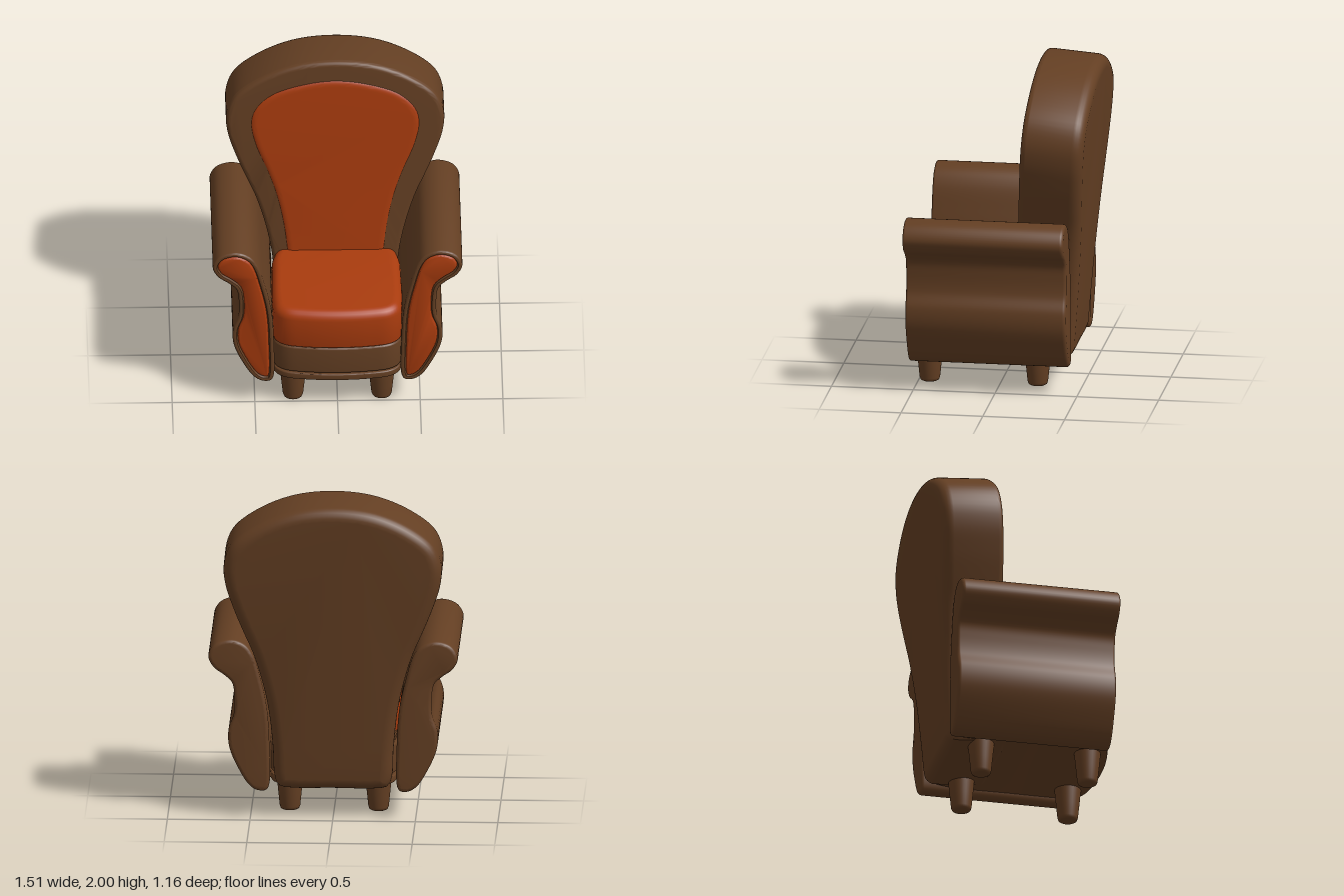
import * as THREE from 'three';
import { toCreasedNormals } from 'three/addons/utils/BufferGeometryUtils.js';

const leather = new THREE.MeshStandardMaterial({ color: 0x643f23 });
leather.name = 'brown leather';
const fabric = new THREE.MeshStandardMaterial({ color: 0xaa3c0e });
fabric.name = 'orange fabric';

// Mirrors a half outline that starts and ends on x = 0
const mirrored = (half) => [...half, ...half.slice(1, -1).reverse().map(([x, y]) => [-x, y])];

// Smooth closed outline, counter-clockwise
function outline(points, count = 120) {
  const curve = new THREE.CatmullRomCurve3(points.map(([x, y]) => new THREE.Vector3(x, y, 0)), true, 'centripetal');
  const out = curve.getSpacedPoints(count).slice(0, -1).map((p) => new THREE.Vector2(p.x, p.y));
  return THREE.ShapeUtils.isClockWise(out) ? out.reverse() : out;
}

// Rings [inset, z] for a slab with rounded edges; each edge is [inset, depth]
function rounded(z0, z1, edge0, edge1, steps = 6) {
  const rings = [];
  for (let i = 0; i <= steps; i++) {
    const a = (i / steps) * Math.PI / 2;
    rings.push([edge0[0] * (1 - Math.sin(a)), z0 + edge0[1] * (1 - Math.cos(a))]);
  }
  for (let i = steps; i >= 0; i--) {
    const a = (i / steps) * Math.PI / 2;
    rings.push([edge1[0] * (1 - Math.sin(a)), z1 - edge1[1] * (1 - Math.cos(a))]);
  }
  return rings;
}

// Lofts an outline through inset rings along z and caps both ends
function loft(points, rings) {
  const n = points.length;
  const normals = points.map((p, i) => {
    const t = points[(i + 1) % n].clone().sub(points[(i + n - 1) % n]).normalize();
    return new THREE.Vector2(t.y, -t.x);
  });
  const position = [];
  const index = [];
  for (const [inset, z] of rings) {
    points.forEach((p, i) => position.push(p.x - normals[i].x * inset, p.y - normals[i].y * inset, z));
  }
  for (let r = 0; r < rings.length - 1; r++) {
    for (let i = 0; i < n; i++) {
      const a = r * n + i;
      const b = r * n + (i + 1) % n;
      index.push(a, b, b + n, a, b + n, a + n);
    }
  }
  const cap = (r, flip) => {
    const ring = points.map((p, i) => p.clone().addScaledVector(normals[i], -rings[r][0]));
    for (const [a, b, c] of THREE.ShapeUtils.triangulateShape(ring, [])) {
      const o = r * n;
      index.push(o + a, o + (flip ? c : b), o + (flip ? b : c));
    }
  };
  cap(0, true);
  cap(rings.length - 1, false);
  const geometry = new THREE.BufferGeometry();
  geometry.setAttribute('position', new THREE.Float32BufferAttribute(position, 3));
  geometry.setIndex(index);
  return toCreasedNormals(geometry, 0.6);
}

function part(parent, name, geometry, material) {
  const mesh = new THREE.Mesh(geometry, material);
  mesh.name = name;
  parent.add(mesh);
  return mesh;
}

export function createModel() {
  const chair = new THREE.Group();
  chair.name = 'armchair';

  // Backrest, leaning backwards
  const back = new THREE.Group();
  back.name = 'backrest';
  back.rotation.x = -0.078;
  back.position.y = 0.012;
  chair.add(back);
  const backOutline = outline(mirrored([
    [0, 2], [0.25, 1.97], [0.465, 1.878], [0.61, 1.76], [0.658, 1.63], [0.65, 1.5], [0.6, 1.34], [0.54, 1.19],
    [0.485, 1.06], [0.43, 0.88], [0.39, 0.69], [0.365, 0.45], [0.355, 0.27], [0.33, 0.21], [0.26, 0.195], [0, 0.195],
  ]), 160);
  part(back, 'backFrame', loft(backOutline, rounded(-0.433, -0.053, [0.07, 0.07], [0.03, 0.035])), leather);
  const padOutline = outline(mirrored([
    [0, 1.875], [0.2, 1.848], [0.385, 1.78], [0.485, 1.68], [0.512, 1.58], [0.485, 1.43], [0.412, 1.24],
    [0.36, 1.08], [0.318, 0.88], [0.295, 0.69], [0.28, 0.55], [0.22, 0.5], [0, 0.5],
  ]), 140);
  part(back, 'backCushion', loft(padOutline, rounded(-0.09, -0.043, [0, 0.01], [0.04, 0.02])), fabric);

  // Scrolled arms with an inset front panel
  const armHalf = [
    [0.388, 0.2], [0.385, 0.44], [0.4, 0.68], [0.438, 0.865], [0.485, 1.02], [0.535, 1.085], [0.62, 1.115],
    [0.715, 1.085], [0.755, 1.01], [0.723, 0.94], [0.66, 0.893], [0.612, 0.845], [0.597, 0.76], [0.6, 0.65],
    [0.632, 0.55], [0.628, 0.44], [0.57, 0.3], [0.505, 0.2], [0.455, 0.17], [0.405, 0.172],
  ];
  for (const [side, label] of [[1, 'left'], [-1, 'right']]) {
    const shape = outline(armHalf.map(([x, y]) => [x * side, y]), 160);
    const body = [...rounded(-0.45, 0.53, [0.022, 0.022], [0.014, 0.014], 4), [0.024, 0.527], [0.031, 0.51]];
    part(chair, label + 'Arm', loft(shape, body), leather);
    const panel = [[0.031, 0.505], [0.032, 0.516], [0.036, 0.522], [0.042, 0.526]];
    part(chair, label + 'ArmPanel', loft(shape, panel), fabric);
  }

  // Seat layers, lofted upwards from a bowed plan
  const plan = (backZ, inset = 0) => outline(mirrored([
    [0, 0.58], [0.2, 0.567], [0.32, 0.54], [0.375, 0.49], [0.39, 0.41], [0.39, 0.1],
    [0.38, backZ + 0.1], [0.33, backZ], [0, backZ],
  ].map(([x, z]) => [x * (1 - inset), -z * (1 - inset)])));
  const layer = (name, shape, rings, material) => {
    part(chair, name, loft(shape, rings), material).rotation.x = -Math.PI / 2;
  };
  layer('seatCushion', plan(-0.16), rounded(0.442, 0.695, [0.012, 0.012], [0.055, 0.06]), fabric);
  layer('seatRail', plan(-0.38), rounded(0.258, 0.44, [0.012, 0.012], [0.012, 0.012]), leather);
  layer('seatCore', plan(-0.36, 0.04), [[0, 0.22], [0, 0.46]], leather);
  layer('baseStrip', plan(-0.4), rounded(0.205, 0.248, [0.008, 0.008], [0.008, 0.008], 4), leather);

  // Tapered legs with rounded feet
  const legProfile = [[0, 0], [0.045, 0], [0.056, 0.006], [0.062, 0.022], [0.07, 0.1], [0.08, 0.2], [0.08, 0.23]];
  const legGeometry = new THREE.LatheGeometry(legProfile.map(([x, y]) => new THREE.Vector2(x, y)), 32);
  for (const x of [-0.268, 0.268]) {
    for (const z of [0.433, -0.227]) {
      const name = (z > 0 ? 'front' : 'rear') + (x > 0 ? 'Left' : 'Right') + 'Leg';
      part(chair, name, legGeometry, leather).position.set(x, 0, z);
    }
  }
  return chair;
}
